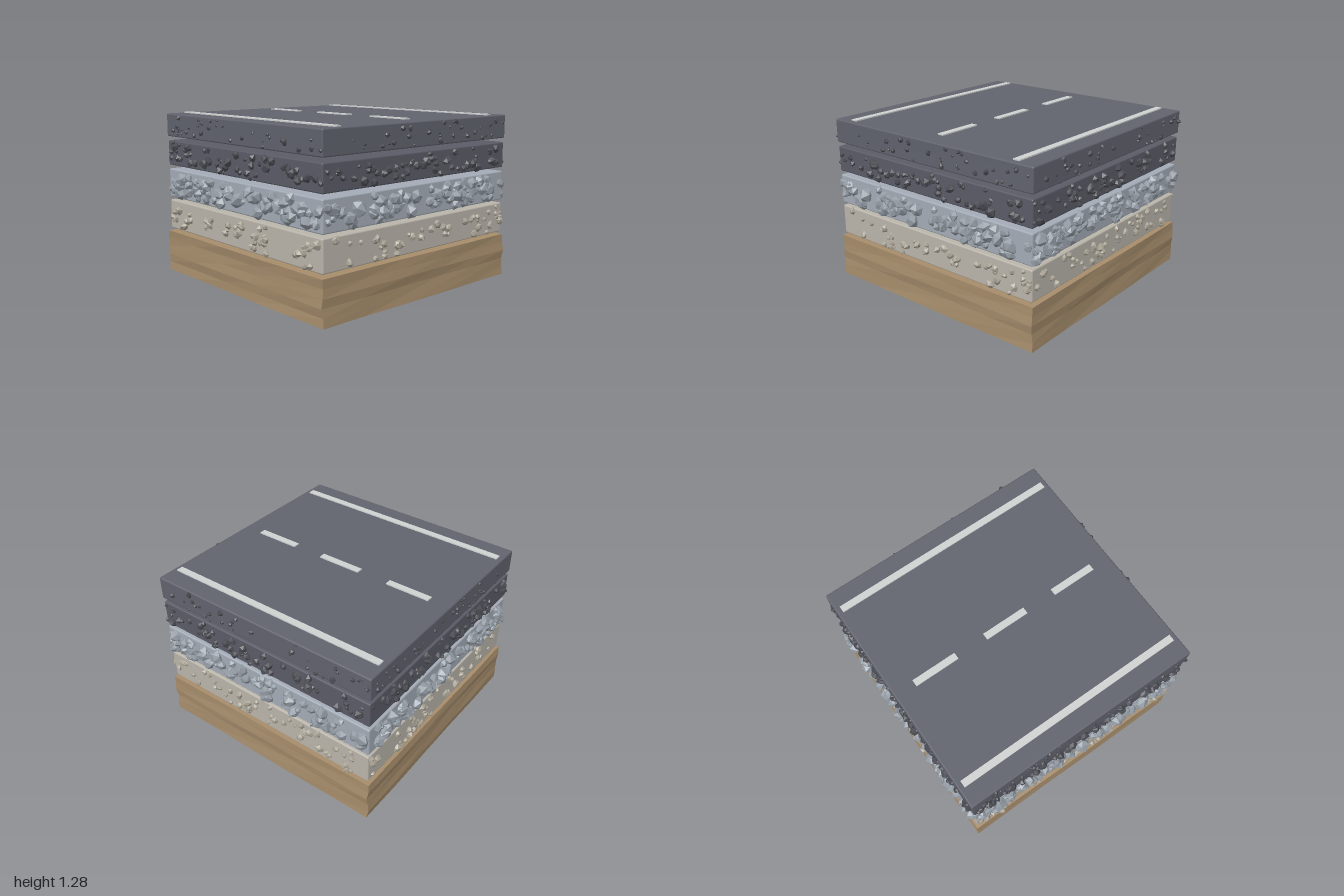
import * as THREE from 'three';
import { mergeGeometries } from 'three/addons/utils/BufferGeometryUtils.js';
import { RoundedBoxGeometry } from 'three/addons/geometries/RoundedBoxGeometry.js';

const CX = -0.003; // small sideways shift of the whole stack

// Small seeded random generator
function seeded(seed) {
  let s = seed;
  return () => {
    s = (s * 1664525 + 1013904223) % 4294967296;
    return s / 4294967296;
  };
}

function material(name, color, flat = false) {
  const m = new THREE.MeshStandardMaterial({ color, flatShading: flat });
  m.name = name;
  return m;
}

function addMesh(parent, name, geometry, mat) {
  const mesh = new THREE.Mesh(geometry, mat);
  mesh.name = name;
  parent.add(mesh);
  return mesh;
}

// One lumpy, faceted stone of the given radius
function stoneGeometry(radius, rand) {
  const geo = new THREE.IcosahedronGeometry(1, 0);
  geo.deleteAttribute('uv');
  const p = geo.attributes.position;
  const moved = new Map();
  const v = new THREE.Vector3();
  for (let i = 0; i < p.count; i++) {
    v.fromBufferAttribute(p, i);
    const key = v.toArray().map((n) => Math.round(n * 100)).join();
    if (!moved.has(key)) moved.set(key, 0.85 + rand() * 0.35);
    v.multiplyScalar(moved.get(key));
    p.setXYZ(i, v.x, v.y, v.z);
  }
  geo.scale(radius * (0.9 + rand() * 0.3), radius * (0.8 + rand() * 0.25), radius * (0.85 + rand() * 0.3));
  geo.rotateX(rand() * 6.28).rotateY(rand() * 6.28).rotateZ(rand() * 6.28);
  geo.computeVertexNormals();
  return geo;
}

// Stones half sunk into all four sides of a slab
function sideStones({ y0, y1, half, count, rMin, rMax, seed }) {
  const rand = seeded(seed);
  const stones = [];
  for (let side = 0; side < 4; side++) {
    for (let i = 0; i < count; i++) {
      const r = rMin + (rMax - rMin) * rand();
      const along = (rand() * 2 - 1) * (half - r * 0.8);
      const y = y0 + r * 0.85 + rand() * (y1 - y0 - r * 1.7);
      const geo = stoneGeometry(r, rand);
      geo.translate(along, y, half + r * (rand() * 0.3 - 0.1));
      geo.rotateY(side * Math.PI / 2);
      geo.translate(CX, 0, 0);
      stones.push(geo);
    }
  }
  return mergeGeometries(stones);
}

// Earth block whose side faces ripple in shallow bands
function soilGeometry() {
  const h = 0.325, half = 0.945;
  const geo = new THREE.BoxGeometry(half * 2, h, half * 2, 5, 5, 5);
  geo.translate(0, h / 2, 0);
  const p = geo.attributes.position;
  const ripple = (y, t, k) => 0.005 * Math.sin(y * 34 + k) + 0.003 * Math.sin(t * 5 + y * 23 + k * 2);
  for (let i = 0; i < p.count; i++) {
    const x = p.getX(i), y = p.getY(i), z = p.getZ(i);
    if (Math.abs(x) > half - 0.001) p.setX(i, x + Math.sign(x) * ripple(y, z, Math.sign(x)));
    if (Math.abs(z) > half - 0.001) p.setZ(i, z + Math.sign(z) * ripple(y, x, Math.sign(z) + 2));
  }
  geo.translate(CX, 0, 0);
  geo.computeVertexNormals();
  return geo;
}

export function createModel() {
  const model = new THREE.Group();
  model.name = 'roadLayers';

  // Soil at the bottom
  addMesh(model, 'soil', soilGeometry(), material('soil brown', 0xa58c6b, true));

  // Floating slabs, from the bottom up
  const layers = [
    { name: 'subBase', y0: 0.347, y1: 0.58, half: 0.93, count: 46, rMin: 0.017, rMax: 0.034, seed: 11, slab: 0xb9b4aa, stone: 0xa8a294 },
    { name: 'crushedStone', y0: 0.603, y1: 0.83, half: 0.93, count: 80, rMin: 0.025, rMax: 0.056, seed: 23, slab: 0xa3abb6, stone: 0x929aa3 },
    { name: 'binderCourse', y0: 0.86, y1: 1.056, half: 0.93, count: 54, rMin: 0.016, rMax: 0.038, seed: 37, slab: 0x5a5b66, stone: 0x4a4b52 },
    { name: 'asphalt', y0: 1.088, y1: 1.267, half: 0.935, count: 34, rMin: 0.009, rMax: 0.022, seed: 53, slab: 0x60626d, stone: 0x484950 },
  ];
  for (const layer of layers) {
    const { name, y0, y1, half } = layer;
    const group = new THREE.Group();
    group.name = name;
    const slab = new RoundedBoxGeometry(half * 2, y1 - y0, half * 2, 2, 0.011);
    slab.translate(CX, (y0 + y1) / 2, 0);
    addMesh(group, name + 'Slab', slab, material(name + ' slab', layer.slab));
    addMesh(group, name + 'Stones', sideStones(layer), material(name + ' stones', layer.stone, true));
    model.add(group);
  }

  // Road markings: two edge lines and three centre dashes
  const paint = material('line white', 0xcdd1d0);
  const marking = (name, length, x, z) => {
    const geo = new THREE.BoxGeometry(length, 0.009, 0.052);
    addMesh(model, name, geo, paint).position.set(CX + x, 1.2715, z);
  };
  for (const s of [-1, 1]) marking('edgeLine', 1.79, 0, s * 0.77);
  for (const x of [-0.597, 0, 0.597]) marking('centreDash', 0.35, x, 0);

  return model;
}
